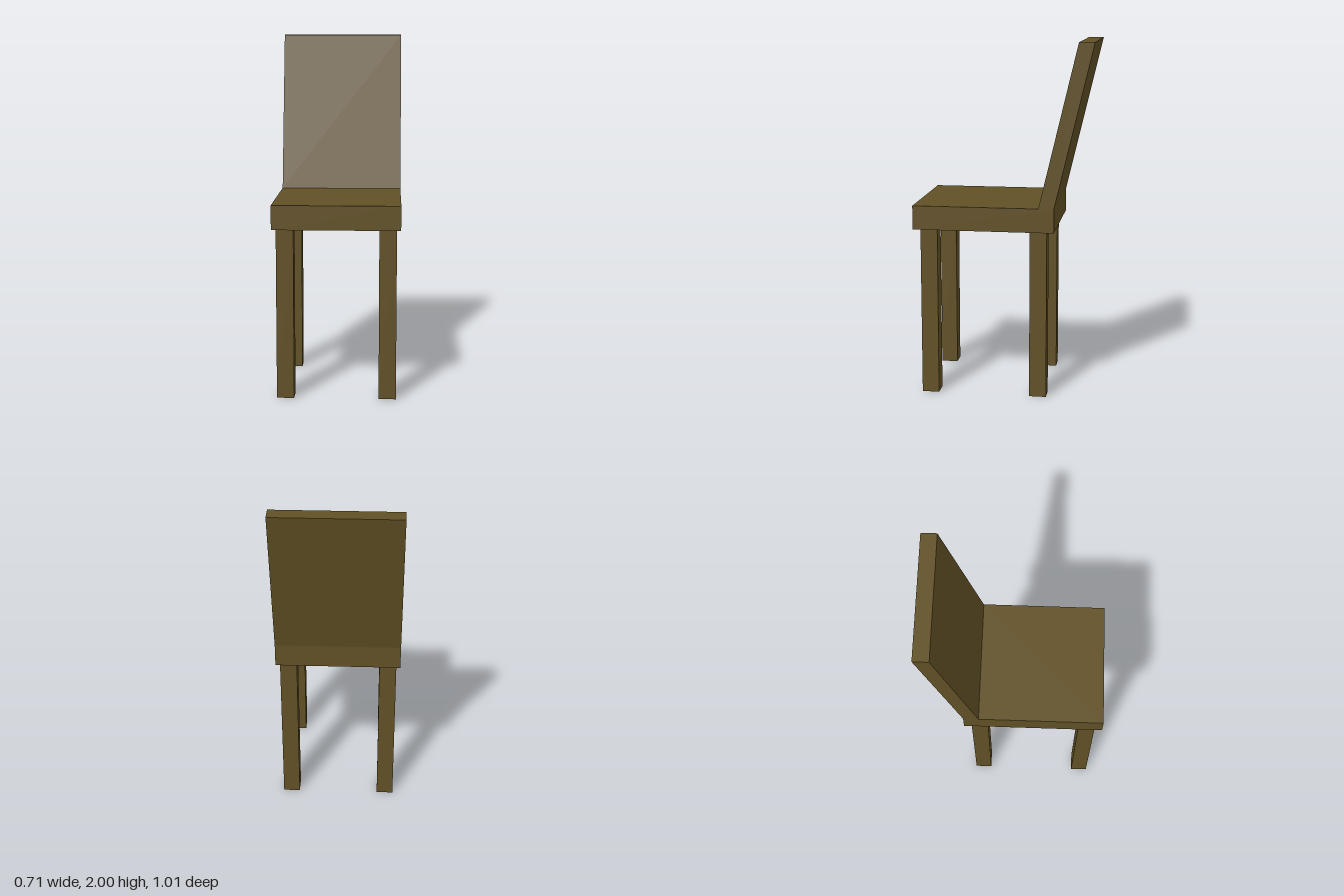
import * as THREE from 'three';

export function createModel() {
  const chair = new THREE.Group();
  chair.name = 'chair';
  const wood = new THREE.MeshStandardMaterial({ color: 0x615025, side: THREE.DoubleSide });
  wood.name = 'darkWood';

  // Seat and leaning backrest share one side profile, drawn as (-z, y)
  const width = 0.706;
  const profile = new THREE.Shape([
    [-0.505, 0.955], [0.29, 0.955], [0.29, 1.09], [0.505, 2],
    [0.418, 2], [0.203, 1.09], [-0.505, 1.09],
  ].map(([x, y]) => new THREE.Vector2(x, y)));
  const seatGeometry = new THREE.ExtrudeGeometry(profile, { depth: width, bevelEnabled: false });
  seatGeometry.translate(0, 0, -width / 2).rotateY(Math.PI / 2);
  const seat = new THREE.Mesh(seatGeometry, wood);
  seat.name = 'seatAndBackrest';
  chair.add(seat);

  // Four square legs, hollow and open at the foot
  const legWidth = 0.096, legHeight = 0.955;
  const radius = legWidth / Math.SQRT2;
  const legGeometry = new THREE.CylinderGeometry(radius, radius, legHeight, 4, 1, true, Math.PI / 4)
    .toNonIndexed();
  legGeometry.computeVertexNormals();
  for (const [row, z] of [['front', 0.417], ['back', -0.201]]) {
    for (const [side, x] of [['Left', 0.283], ['Right', -0.283]]) {
      const leg = new THREE.Mesh(legGeometry, wood);
      leg.name = `${row}${side}Leg`;
      leg.position.set(x, legHeight / 2, z);
      chair.add(leg);
    }
  }
  return chair;
}
